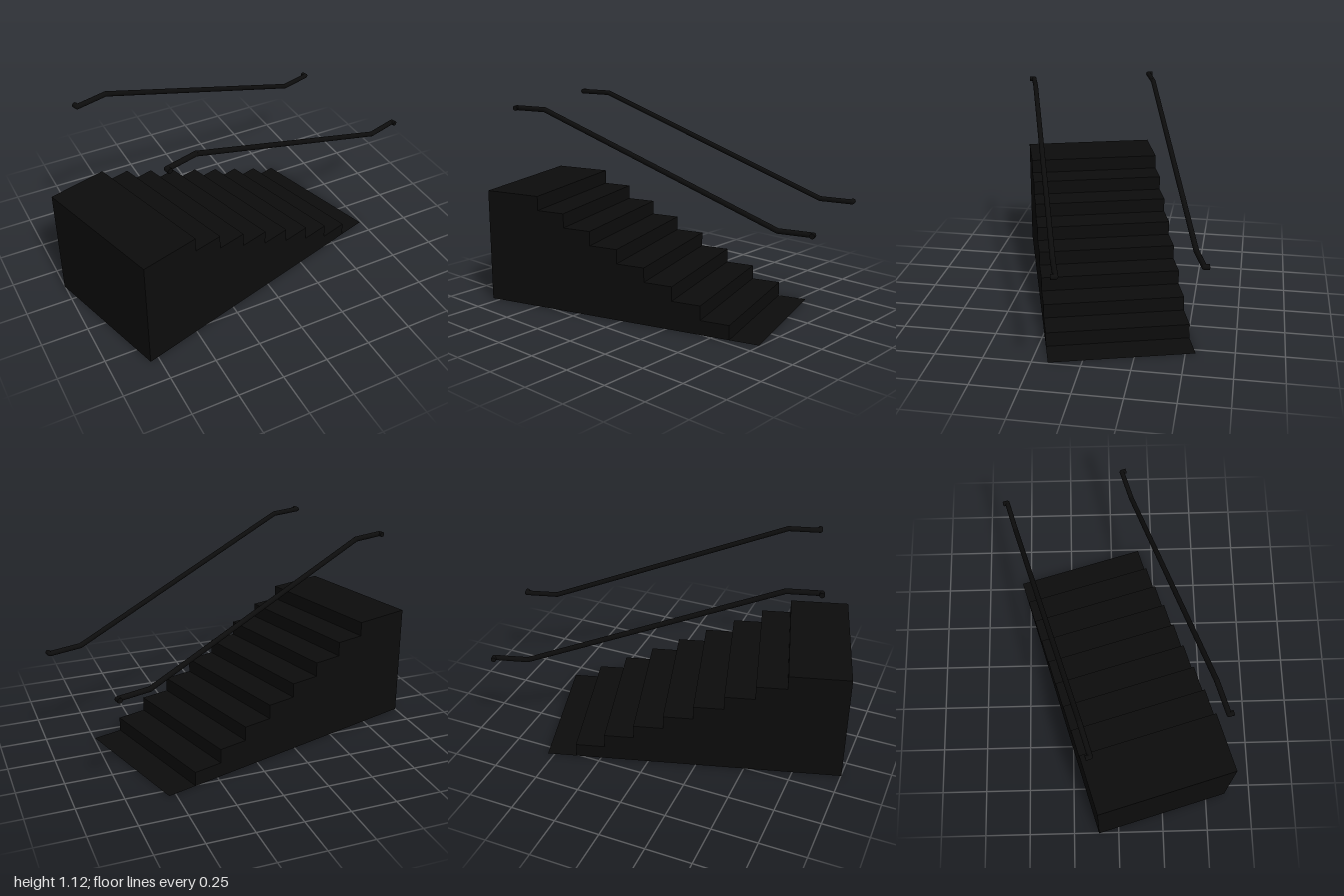
import * as THREE from 'three';

const STEPS = 8, RUN = 0.16, RISE = 0.0782;
const LENGTH = RUN * (STEPS + 2), WIDTH = 0.748;
const RAIL_RADIUS = 0.0135;

export function createModel() {
  const root = new THREE.Group();
  root.name = 'staircase';
  const black = new THREE.MeshStandardMaterial({ color: 0x0c0c0c, side: THREE.DoubleSide });

  const add = (parent, name, geometry) => {
    const mesh = new THREE.Mesh(geometry, black);
    mesh.name = name;
    parent.add(mesh);
    return mesh;
  };

  // Whole flight is turned about the vertical axis
  const flight = new THREE.Group();
  flight.name = 'flight';
  flight.rotation.y = THREE.MathUtils.degToRad(16);
  flight.position.set(-0.13, 0, 0.028);
  root.add(flight);

  // Treads and risers, from the double-depth landing down to the floor-level tread
  const x0 = -LENGTH / 2;
  const profile = new THREE.Shape();
  profile.moveTo(x0, 0);
  profile.lineTo(x0, STEPS * RISE);
  let x = x0;
  for (let i = STEPS; i >= 0; i--) {
    const depth = i === STEPS ? RUN * 2 : RUN;
    const y = i * RISE;
    const tread = add(flight, i === STEPS ? 'landing' : 'tread',
      new THREE.PlaneGeometry(depth, WIDTH).rotateX(-Math.PI / 2));
    tread.position.set(x + depth / 2, y, 0);
    x += depth;
    if (i > 0) {
      const riser = add(flight, 'riser', new THREE.PlaneGeometry(WIDTH, RISE).rotateY(Math.PI / 2));
      riser.position.set(x, y - RISE / 2, 0);
      profile.lineTo(x, y);
      profile.lineTo(x, y - RISE);
    }
  }

  // Stepped side walls and the tall end wall; the underside is open
  for (const side of [1, -1]) {
    const geometry = new THREE.ShapeGeometry(profile);
    if (side < 0) geometry.scale(-1, 1, 1).rotateY(Math.PI);
    geometry.translate(0, 0, side * WIDTH / 2);
    add(flight, 'sideWall', geometry);
  }
  const end = add(flight, 'endWall', new THREE.PlaneGeometry(WIDTH, STEPS * RISE).rotateY(-Math.PI / 2));
  end.position.set(x0, STEPS * RISE / 2, 0);

  // Handrails: level at both ends, sloping between, with tips returned outwards
  for (const side of [1, -1]) {
    const rail = new THREE.Group();
    rail.name = side > 0 ? 'frontHandrail' : 'backHandrail';
    flight.add(rail);
    const drop = side > 0 ? 0.01 : 0;
    const z = side * 0.342, tip = side * 0.366;
    const points = [
      [-0.607, 1.102, tip], [-0.607, 1.102, z], [-0.435, 1.102, z],
      [0.869, 0.6, z], [1.047, 0.6, z], [1.047, 0.6, tip],
    ].map(([px, py, pz]) => new THREE.Vector3(px, py - drop, pz));
    const up = new THREE.Vector3(0, 1, 0);
    for (let i = 1; i < points.length; i++) {
      const a = points[i - 1], b = points[i];
      const span = b.clone().sub(a);
      const bar = add(rail, 'railBar',
        new THREE.CylinderGeometry(RAIL_RADIUS, RAIL_RADIUS, span.length(), 16));
      bar.position.copy(a).add(b).multiplyScalar(0.5);
      bar.quaternion.setFromUnitVectors(up, span.normalize());
      // Rounded elbow where two bars meet
      if (i < points.length - 1) {
        add(rail, 'railElbow', new THREE.SphereGeometry(RAIL_RADIUS, 16, 10)).position.copy(b);
      }
    }
  }
  return root;
}
